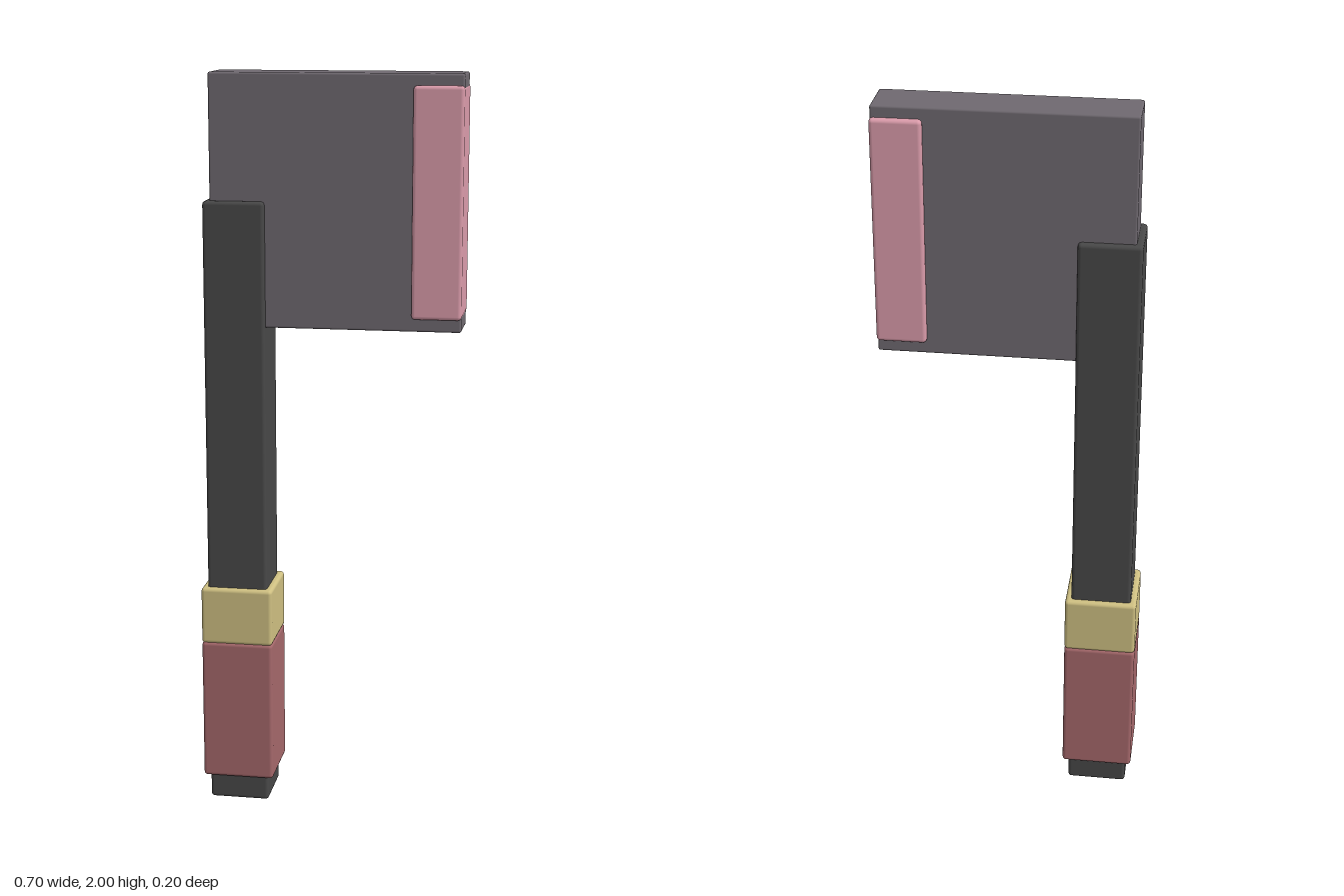
import * as THREE from 'three';
import { RoundedBoxGeometry } from 'three/addons/geometries/RoundedBoxGeometry.js';

// Softly bevelled block spanning x0..x1, y0..y1 and centred on z = 0
function block(name, color, [x0, x1], [y0, y1], depth, bevel = 0.01) {
  const mesh = new THREE.Mesh(
    new RoundedBoxGeometry(x1 - x0, y1 - y0, depth, 2, bevel),
    new THREE.MeshStandardMaterial({ color })
  );
  mesh.position.set((x0 + x1) / 2, (y0 + y1) / 2, 0);
  mesh.name = name;
  return mesh;
}

export function createModel() {
  const axe = new THREE.Group();
  axe.name = 'axe';
  const gripX = [-0.349, -0.153];

  axe.add(
    // Shaft with the wrapped grip and its collar
    block('shaft', 0x484848, [-0.333, -0.169], [0, 1.67], 0.164),
    block('grip', 0xa5686b, gripX, [0.07, 0.463], 0.196),
    block('collar', 0xcfc082, gripX, [0.46, 0.618], 0.196),
    // Square head with the coloured cutting edge
    block('head', 0x6f6970, [-0.316, 0.348], [1.338, 2], 0.132, 0.006),
    block('cuttingEdge', 0xdb9cab, [0.218, 0.349], [1.372, 1.97], 0.164)
  );
  return axe;
}
